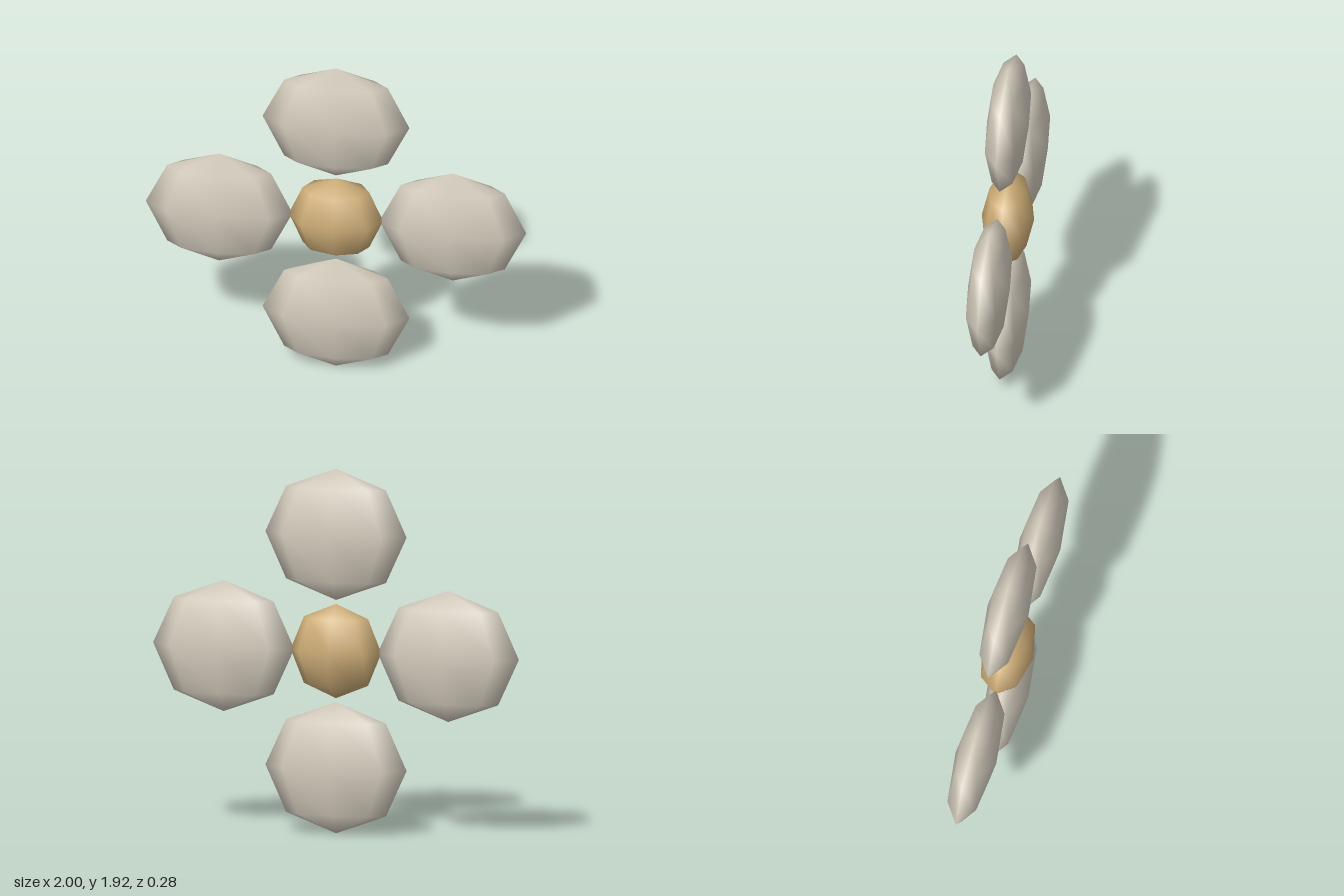
import * as THREE from 'three';

export function createModel() {
  const group = new THREE.Group();
  const petalMat = new THREE.MeshStandardMaterial({ color: 0xd4ccbd });
  petalMat.name = 'pale stone';
  const centreMat = new THREE.MeshStandardMaterial({ color: 0xcfae78 });
  centreMat.name = 'warm gold';

  const midY = 0.959;   // height of the flower's centre
  const reach = 0.614;  // distance from the centre to each petal

  // Coarse smooth sphere, flattened by a scale
  const sphere = new THREE.SphereGeometry(1, 8, 4);
  const addBlob = (name, material, x, y, radii) => {
    const mesh = new THREE.Mesh(sphere, material);
    mesh.name = name;
    mesh.position.set(x, y, 0);
    mesh.scale.set(...radii);
    group.add(mesh);
  };

  // Four petals in a cross
  const petals = { leftPetal: [1, 0], topPetal: [0, 1], rightPetal: [-1, 0], bottomPetal: [0, -1] };
  for (const [name, [dx, dy]] of Object.entries(petals)) {
    addBlob(name, petalMat, dx * reach, midY + dy * reach, [0.386, 0.345, 0.11]);
  }

  // Flower centre
  addBlob('flowerCentre', centreMat, 0, midY, [0.248, 0.248, 0.138]);

  return group;
}
